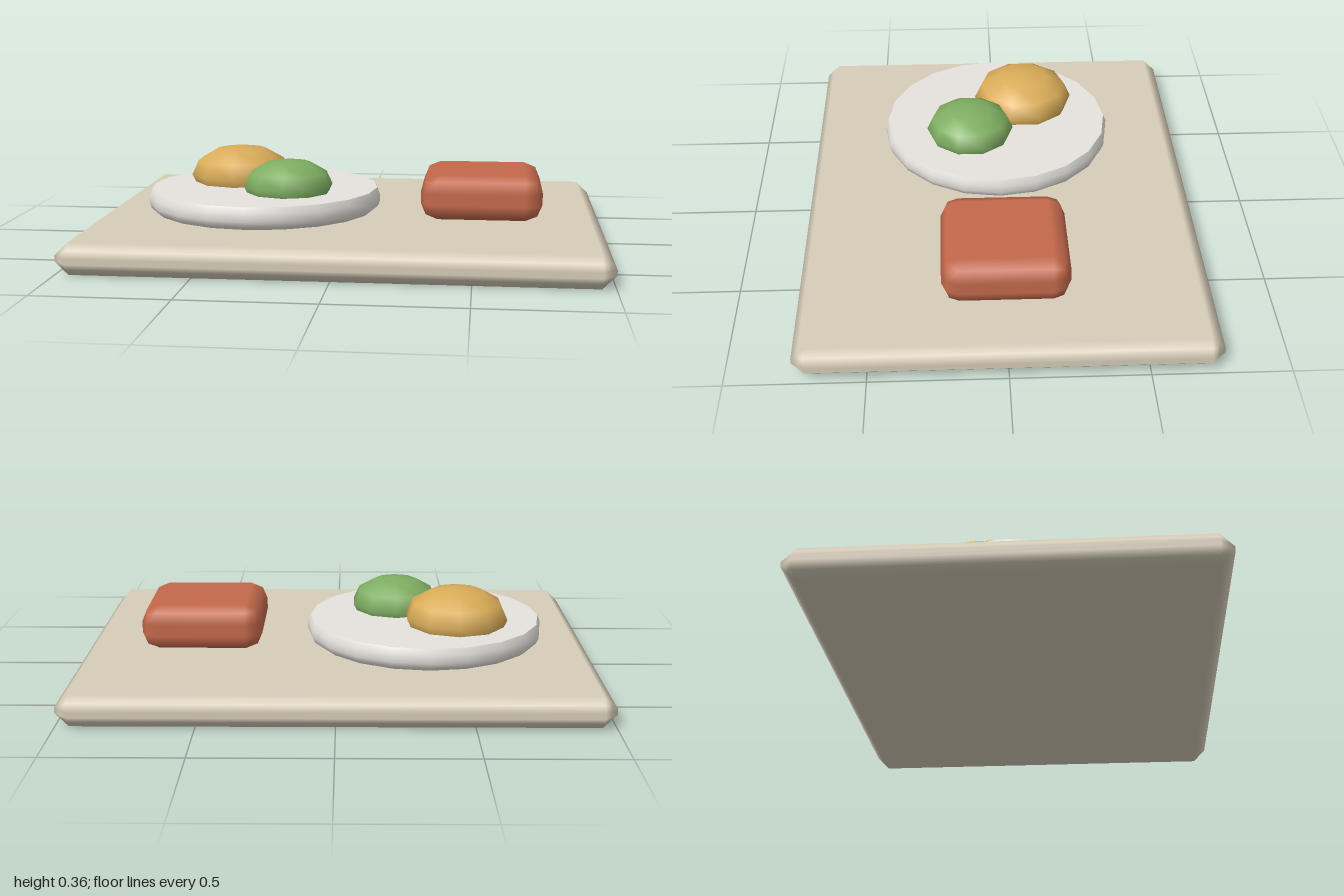
import * as THREE from 'three';
import { toCreasedNormals } from 'three/addons/utils/BufferGeometryUtils.js';

function part(name, geometry, color, x = 0, y = 0, z = 0) {
  const mesh = new THREE.Mesh(geometry, new THREE.MeshStandardMaterial({ color }));
  mesh.name = name;
  mesh.position.set(x, y, z);
  return mesh;
}

// Box with softened edges: a straight chamfer, or a two-step round.
function bevelledBox(w, h, d, r, round) {
  const geo = new THREE.BoxGeometry(2, 2, 2, 3, 3, 3);
  const pos = geo.attributes.position;
  const v = new THREE.Vector3();
  const dir = new THREE.Vector3();
  const core = new THREE.Vector3(w / 2 - r, h / 2 - r, d / 2 - r);
  const outer = (c) => (Math.abs(c) > 0.9 ? Math.sign(c) : 0);
  for (let i = 0; i < pos.count; i++) {
    v.fromBufferAttribute(pos, i);
    dir.set(outer(v.x), outer(v.y), outer(v.z));
    const reach = r / (round ? dir.length() : dir.manhattanLength());
    v.set(Math.sign(v.x), Math.sign(v.y), Math.sign(v.z)).multiply(core).addScaledVector(dir, reach);
    pos.setXYZ(i, v.x, v.y, v.z);
    dir.normalize();
    geo.attributes.normal.setXYZ(i, dir.x, dir.y, dir.z);
  }
  return geo;
}

// Flattened low-poly scoop, partly sunk into the plate.
function scoop(radius, height) {
  return new THREE.SphereGeometry(radius, 10, 6).rotateY(Math.PI / 2).scale(1, height / radius, 1);
}

export function createModel() {
  const model = new THREE.Group();
  model.name = 'mealTray';

  model.add(part('tray', bevelledBox(2, 0.12, 1.525, 0.05, false), 0xd6ccb8, 0, 0.06, 0));

  // Plate: flat disc with a softened rim
  const profile = [[0, 0], [0.44, 0], [0.46, 0.015], [0.468, 0.035], [0.468, 0.065], [0.457, 0.09], [0, 0.09]]
    .map(([x, y]) => new THREE.Vector2(x, y));
  const plate = toCreasedNormals(new THREE.LatheGeometry(profile, 20), 0.85);
  model.add(part('plate', plate, 0xe6e3de, -0.35, 0.12, 0));

  // Food
  model.add(part('yellowScoop', scoop(0.205, 0.118), 0xd9ac58, -0.47, 0.24, -0.118));
  model.add(part('greenScoop', scoop(0.178, 0.105), 0x7fae62, -0.237, 0.235, 0.113));
  model.add(part('redBlock', bevelledBox(0.47, 0.175, 0.47, 0.065, true), 0xc4694c, 0.527, 0.208, 0));

  return model;
}
